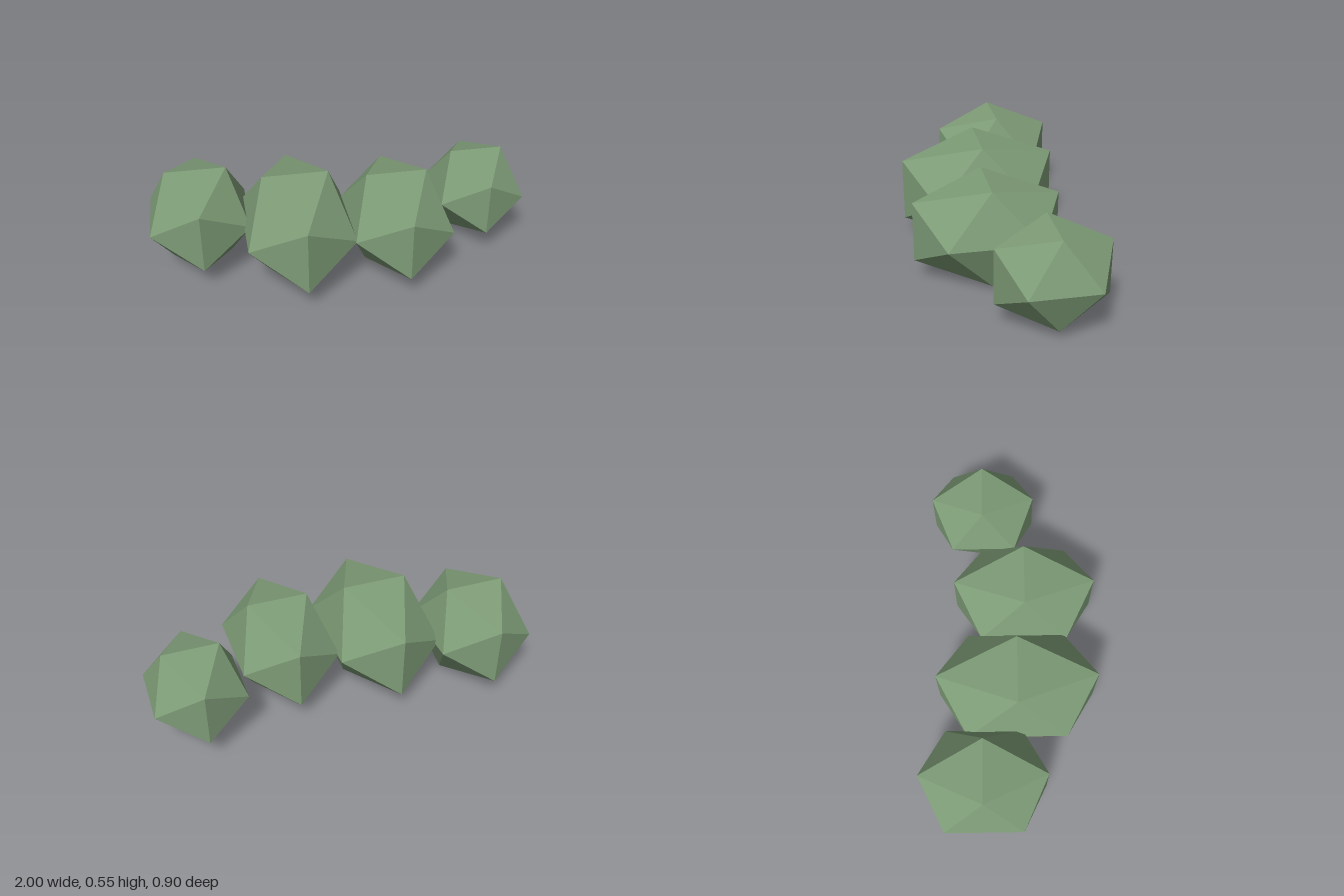
import * as THREE from 'three';

// Row of low-poly hedge shrubs, each a stretched icosahedron
export function createModel() {
  const group = new THREE.Group();
  group.name = 'hedge';
  const leaf = new THREE.MeshStandardMaterial({ color: 0x7d9b76, flatShading: true });
  leaf.name = 'sage green';

  // centre x, centre z, radius across x and y, radius along z
  const shrubs = [
    [-0.745, -0.133, 0.300, 0.376],
    [-0.248, 0.040, 0.323, 0.484],
    [0.270, 0.084, 0.300, 0.432],
    [0.770, -0.132, 0.270, 0.322],
  ];
  shrubs.forEach(([x, z, r, rz], i) => {
    const geometry = new THREE.IcosahedronGeometry(1, 0);
    geometry.scale(r, r, rz);
    geometry.computeVertexNormals();
    const shrub = new THREE.Mesh(geometry, leaf);
    shrub.name = `shrub${i + 1}`;
    shrub.position.set(x, 0.277, z);
    group.add(shrub);
  });
  return group;
}
